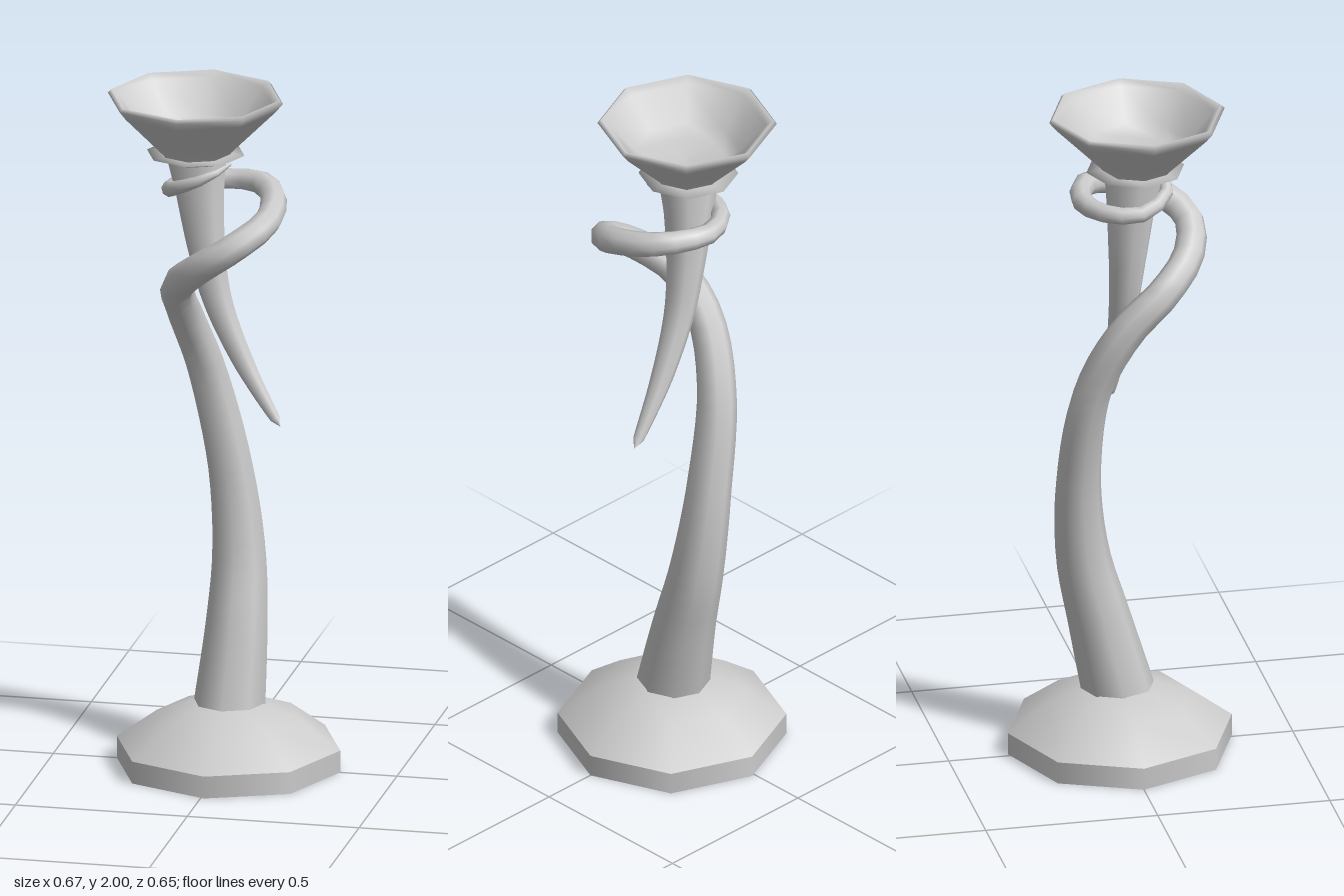
import * as THREE from 'three';

const material = new THREE.MeshStandardMaterial({ color: 0xcccccc, side: THREE.DoubleSide });

function addMesh(group, name, geometry) {
  const mesh = new THREE.Mesh(geometry, material);
  mesh.name = name;
  group.add(mesh);
  return mesh;
}

// Eight-sided turned part from [radius, height] pairs
function turned(profile, x, z) {
  const points = profile.map(([r, y]) => new THREE.Vector2(r, y));
  return new THREE.LatheGeometry(points, 8).translate(x, 0, z);
}

// Tapering tube through stations of [x, y, z, radius]
function taperedTube(stations, segments, sides) {
  const curve = new THREE.CatmullRomCurve3(stations.map(([x, y, z]) => new THREE.Vector3(x, y, z)));
  const geometry = new THREE.TubeGeometry(curve, segments, 1, sides);
  const pos = geometry.attributes.position;
  const v = new THREE.Vector3();
  for (let i = 0; i <= segments; i++) {
    const u = i / segments;
    const centre = curve.getPointAt(u);
    const t = curve.getUtoTmapping(u) * (stations.length - 1);
    const k = Math.min(Math.floor(t), stations.length - 2);
    const radius = THREE.MathUtils.lerp(stations[k][3], stations[k + 1][3], t - k);
    for (let j = 0; j <= sides; j++) {
      const n = i * (sides + 1) + j;
      v.fromBufferAttribute(pos, n).sub(centre).multiplyScalar(radius).add(centre);
      pos.setXYZ(n, v.x, v.y, v.z);
    }
  }
  return geometry;
}

export function createModel() {
  const group = new THREE.Group();
  group.name = 'candlestick';

  // Hollow foot: straight skirt and low dome
  addMesh(group, 'footSkirt', turned([[0.325, 0], [0.325, 0.065]], 0.01, 0));
  addMesh(group, 'footDome', turned([[0.325, 0.065], [0.21, 0.15], [0.1, 0.19], [0.07, 0.185]], 0.01, 0));

  // Stem that rises, then coils round the horn like a tendril
  addMesh(group, 'stem', taperedTube([
    [0.01, 0.15, 0.0, 0.106],
    [0.02, 0.4, -0.06, 0.09],
    [0.017, 0.6, -0.107, 0.078],
    [-0.012, 0.85, -0.125, 0.065],
    [-0.075, 1.15, -0.095, 0.056],
    [-0.118, 1.34, -0.005, 0.052],
    [-0.115, 1.45, 0.105, 0.048],
    [-0.04, 1.53, 0.19, 0.045],
    [0.06, 1.6, 0.207, 0.042],
    [0.145, 1.66, 0.12, 0.04],
    [0.135, 1.7, -0.02, 0.037],
    [0.08, 1.715, -0.09, 0.034],
    [-0.03, 1.71, -0.115, 0.03],
    [-0.125, 1.71, -0.06, 0.027],
    [-0.155, 1.715, 0.03, 0.024],
    [-0.1, 1.75, 0.11, 0.02],
    [-0.02, 1.785, 0.115, 0.014],
    [0.03, 1.81, 0.06, 0.004],
  ], 48, 8));

  // Curved horn hanging below the cup
  addMesh(group, 'horn', taperedTube([
    [-0.08, 1.84, 0.025, 0.092],
    [-0.07, 1.7, 0.015, 0.07],
    [-0.05, 1.52, 0.008, 0.053],
    [-0.02, 1.38, 0.004, 0.043],
    [0.055, 1.2, 0, 0.031],
    [0.155, 1.026, 0, 0.012],
    [0.161, 1.018, 0, 0],
  ], 30, 8));

  // Thin drip plate and flared cup
  addMesh(group, 'dripPlate', turned([[0.08, 1.822], [0.142, 1.826], [0.08, 1.832]], -0.08, 0.025));
  addMesh(group, 'cup', turned([
    [0.09, 1.81], [0.105, 1.835], [0.14, 1.87], [0.235, 1.965], [0.255, 1.99],
    [0.245, 2], [0.225, 1.985], [0.15, 1.9], [0.11, 1.875], [0, 1.868],
  ], -0.08, 0.03));

  return group;
}
